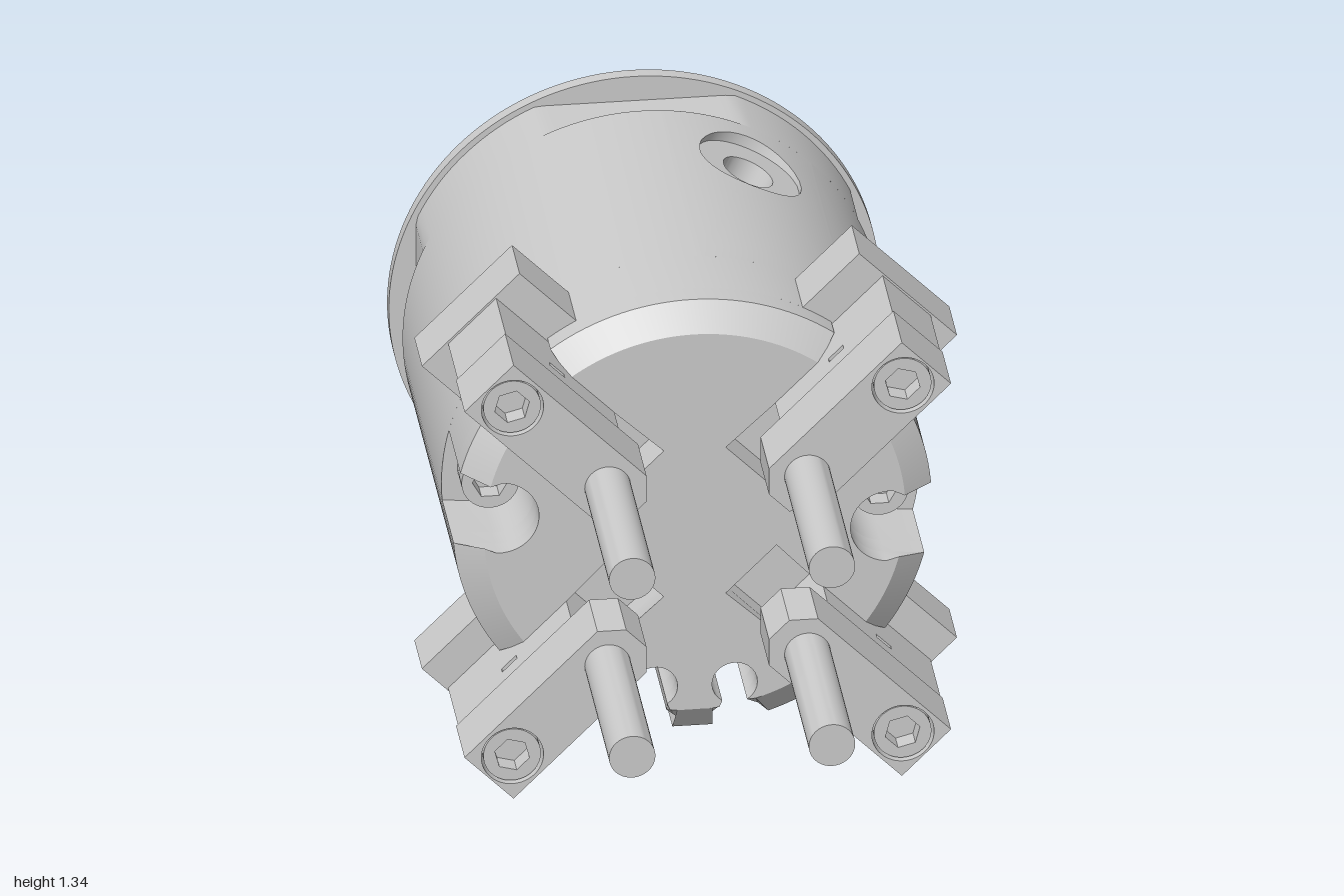
import * as THREE from 'three';
import { toCreasedNormals } from 'three/addons/utils/BufferGeometryUtils.js';

const R = 0.6;            // barrel radius
const RAD = Math.PI / 180;
const V2 = (x, y) => new THREE.Vector2(x, y);

export function createModel() {
  const model = new THREE.Group();
  const axis = new THREE.Group();   // everything is laid out around the z axis
  axis.name = 'gripper';
  axis.position.y = 0.674;
  model.add(axis);

  const mat = new THREE.MeshStandardMaterial({ color: 0xcccccc, side: THREE.DoubleSide });
  const add = (name, geo, parent = axis) => {
    const mesh = new THREE.Mesh(toCreasedNormals(geo, 0.5), mat);
    mesh.name = name;
    parent.add(mesh);
    return mesh;
  };
  const extrude = (shape, z0, z1) =>
    new THREE.ExtrudeGeometry(shape, { depth: z1 - z0, bevelEnabled: false, curveSegments: 24 }).translate(0, 0, z0);
  const hole = (x, y, r) => new THREE.Path().absarc(x, y, r, 0, Math.PI * 2, true);

  // Surface through equal rows of points
  const grid = (rows, closed) => {
    const n = rows[0].length, index = [];
    for (let i = 0; i < rows.length - 1; i++) {
      for (let j = 0; j < (closed ? n : n - 1); j++) {
        const k = (j + 1) % n, a = i * n, b = a + n;
        index.push(a + j, a + k, b + k, a + j, b + k, b + j);
      }
    }
    return new THREE.BufferGeometry().setFromPoints(rows.flat()).setIndex(index);
  };

  // Cut-outs in the round outline: u points outwards, v runs anticlockwise
  const jawSlot = (angle) => {
    const h = 0.09, u = Math.sqrt(R * R - h * h);
    return { angle, pts: [V2(u, -h), V2(0.2, -h), V2(0.2, h), V2(u, h)] };
  };
  const pocket = (angle) => {
    const r = 0.098, u = Math.sqrt(R * R - r * r), pts = [V2(u, -r)];
    for (let a = -90; a >= -270; a -= 10) pts.push(V2(0.49 + r * Math.cos(a * RAD), r * Math.sin(a * RAD)));
    pts.push(V2(u, r));
    return { angle, pts };
  };
  const keyholes = () => {
    const half = [V2(0.598, 0.05), V2(0.57, 0.04), V2(0.55, 0.065)];
    for (let a = -33; a >= -327; a -= 14) half.push(V2(0.459 + 0.057 * Math.cos(a * RAD), 0.1 + 0.057 * Math.sin(a * RAD)));
    half.push(V2(0.545, 0.165), V2(0.569, 0.19));
    return { angle: 270, pts: [...half.map((p) => V2(p.x, -p.y)).reverse(), ...half] };
  };

  // Round outline from one angle to another, interrupted by the cut-outs
  const outline = (cuts, from = 90, to = 450) => {
    const pts = [];
    let at = from;
    const arcTo = (end) => {
      const n = Math.max(1, Math.ceil((end - at) / 2.5));
      for (let i = 0; i <= n; i++) {
        const a = (at + ((end - at) * i) / n) * RAD;
        pts.push(V2(R * Math.cos(a), R * Math.sin(a)));
      }
    };
    for (const { angle, pts: cut } of [...cuts].sort((a, b) => a.angle - b.angle)) {
      const edge = (p) => angle + Math.atan2(p.y, p.x) / RAD;
      arcTo(edge(cut[0]));
      pts.pop();
      for (const p of cut) pts.push(p.clone().rotateAround(V2(0, 0), angle * RAD));
      at = edge(cut[cut.length - 1]) + 0.3;
    }
    arcTo(to);
    if (to - from === 360) pts.pop();
    return pts;
  };

  const plain = [keyholes()];
  const pocketed = [...plain, pocket(175), pocket(355)];
  const slotted = [...pocketed, ...[135, 225, 315, 405].map(jawSlot)];

  // Barrel wall, leaving out the sector with the two ports
  const ribbon = outline(plain, 85, 365);
  add('barrelWall', grid([-0.81, -0.03].map((z) => ribbon.map((p) => new THREE.Vector3(p.x, p.y, z))), false));
  for (const z of [-0.81, -0.03]) {
    add('barrelEnd', new THREE.ShapeGeometry(new THREE.Shape(outline(plain))).translate(0, 0, z));
  }

  // Wall panel with a counterbored port
  const portPanel = (angle, holeZ) => {
    const z0 = -0.81, z1 = -0.03, w = 20 * RAD, n = 14, rim = [];
    for (let i = 0; i < n; i++) rim.push([w, z0 + ((z1 - z0) * i) / n]);
    for (let i = 0; i < n; i++) rim.push([w - (2 * w * i) / n, z1]);
    for (let i = 0; i < n; i++) rim.push([-w, z1 - ((z1 - z0) * i) / n]);
    for (let i = 0; i < n; i++) rim.push([-w + (2 * w * i) / n, z0]);
    const dirs = rim.map(([t, z]) => Math.atan2(z - holeZ, t * R));
    const rows = [];
    for (let k = 0; k <= 8; k++) {
      rows.push(rim.map(([t, z], i) => {
        const f = k / 8;
        const th = angle * RAD + t * (1 - f) + Math.asin((0.14 * Math.cos(dirs[i])) / R) * f;
        return new THREE.Vector3(R * Math.cos(th), R * Math.sin(th), z * (1 - f) + (holeZ + 0.14 * Math.sin(dirs[i])) * f);
      }));
    }
    for (const [r, h] of [[0.14, 0.57], [0.068, 0.57], [0.068, 0.3], [0, 0.3]]) {
      rows.push(dirs.map((d) => new THREE.Vector3(h, r * Math.cos(d), holeZ + r * Math.sin(d))
        .applyAxisAngle(new THREE.Vector3(0, 0, 1), angle * RAD)));
    }
    return grid(rows, true);
  };
  add('frontPort', portPanel(25, -0.18));
  add('rearPort', portPanel(65, -0.61));

  // Front of the body: pockets, then jaw slots, then the chamfered face
  add('headBase', extrude(new THREE.Shape(outline(pocketed)), -0.03, 0.14));
  add('headSlots', extrude(new THREE.Shape(outline(slotted)), 0.14, 0.2));
  const nose = extrude(new THREE.Shape(outline(slotted)), 0.2, 0.25);
  const np = nose.attributes.position;
  for (let i = 0; i < np.count; i++) {
    const r = Math.hypot(np.getX(i), np.getY(i));
    if (np.getZ(i) > 0.24 && r > 0.528) np.setXY(i, (np.getX(i) * 0.528) / r, (np.getY(i) * 0.528) / r);
  }
  add('headChamfer', nose);

  // Rear neck with four flats, and the mounting flange with its bolt holes
  const bolts = [[0, 0.29, 0.033], [0, -0.29, 0.033]];
  for (const s of [1, -1]) {
    bolts.push([0.31 * s, 0.32, 0.065], [0.31 * s, -0.32, 0.065]);
    bolts.push([0.467 * s, -0.047 * s, 0.035], [0.335 * s, -0.025 * s, 0.035], [0.218 * s, 0, 0.03]);
  }
  const flat = (v) => THREE.MathUtils.clamp(v, -0.547, 0.547);
  const neck = new THREE.Shape(outline(plain).map((p) => V2(flat(p.x), flat(p.y))));
  neck.holes = bolts.map((b) => hole(...b));
  add('neck', extrude(neck, -0.965, -0.81));
  const flange = new THREE.Shape().absarc(0, 0, 0.615, 0, Math.PI * 2);
  flange.holes = [...bolts, [0, -0.455, 0.073]].map((b) => hole(...b));
  const plate = new THREE.ExtrudeGeometry(flange, { depth: 0.035, bevelEnabled: false, curveSegments: 72 });
  add('flange', plate.translate(0, 0, -1));

  // Socket head screw with a raised ring and hexagon recess
  const screw = (parent, x, y, z0, z1) => {
    const hex = new THREE.Path();
    for (let i = 5; i >= 0; i--) {
      const px = x + 0.045 * Math.cos(i * 60 * RAD), py = y + 0.045 * Math.sin(i * 60 * RAD);
      if (i === 5) hex.moveTo(px, py); else hex.lineTo(px, py);
    }
    hex.closePath();
    const head = new THREE.Shape().absarc(x, y, 0.072, 0, Math.PI * 2);
    head.holes.push(hex);
    add('screwHead', extrude(head, z1 - 0.05, z1), parent);
    add('screwShank', new THREE.CylinderGeometry(0.072, 0.072, z1 - z0 - 0.05, 32).rotateX(Math.PI / 2)
      .translate(x, y, (z0 + z1 - 0.05) / 2), parent);
  };
  for (const s of [1, -1]) screw(axis, 0.488 * s, -0.042 * s, -0.03, 0.055);

  // Four jaws, each with a slide, an arm, a finger, a screw and a pin
  const arm = new THREE.Shape([V2(0.37, 0.139), V2(0.77, 0.139), V2(0.77, 0.34), V2(0.37, 0.34)]);
  arm.holes.push(new THREE.Path([V2(0.553, 0.277), V2(0.553, 0.293), V2(0.605, 0.293), V2(0.605, 0.277)]));
  const finger = new THREE.Shape([V2(0.253, -0.036), V2(0.304, -0.087), V2(0.775, -0.087),
    V2(0.775, 0.087), V2(0.304, 0.087), V2(0.253, 0.036)]);
  finger.holes.push(hole(0.692, 0, 0.078));
  for (let i = 0; i < 4; i++) {
    const jaw = new THREE.Group();
    jaw.name = 'jaw';
    jaw.rotation.z = (45 + 90 * i) * RAD;
    axis.add(jaw);
    add('jawSlide', new THREE.BoxGeometry(0.525, 0.346, 0.152).translate(0.5125, 0, 0.066), jaw);
    add('jawArm', extrude(arm, 0, 0.17).rotateX(Math.PI / 2).translate(0, 0.085, 0), jaw);
    add('jawFinger', extrude(finger, 0.34, 0.51), jaw);
    screw(jaw, 0.692, 0, 0.34, 0.503);
    add('pin', new THREE.CylinderGeometry(0.058, 0.058, 0.5, 40).rotateX(Math.PI / 2).translate(0.354, 0, 0.75), jaw);
  }
  return model;
}
